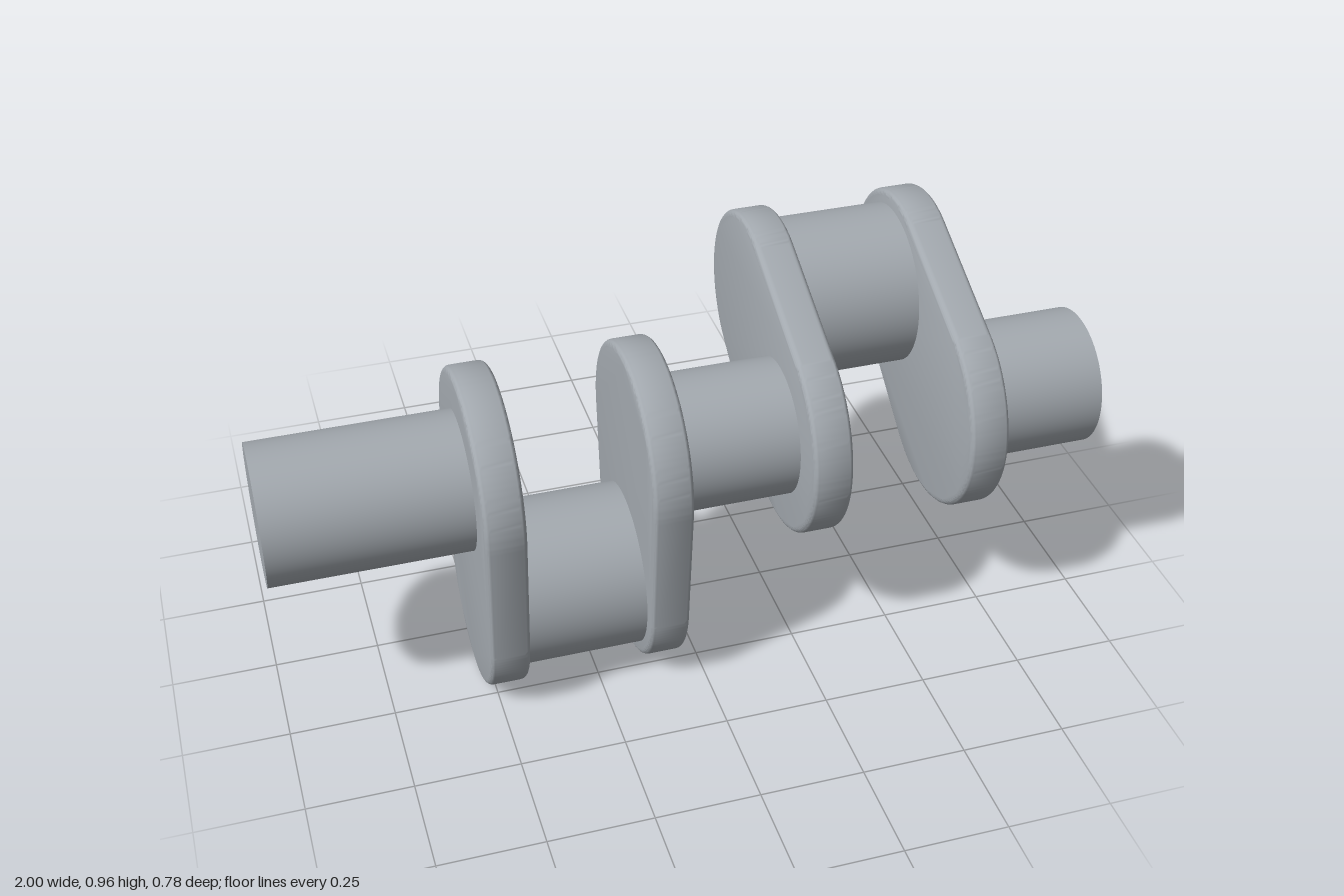
import * as THREE from 'three';
import { toCreasedNormals } from 'three/addons/utils/BufferGeometryUtils.js';

const AXIS_Y = 0.567, AXIS_Z = 0.128;   // main shaft axis, running along x
const THROW = 0.33;                     // distance from shaft axis to crank pin axis
const SHAFT_R = 0.166, PIN_R = 0.198;
const WEB_MAIN_R = 0.264, WEB_PIN_R = 0.232, WEB_T = 0.096, FILLET = 0.015;

export function createModel() {
  const model = new THREE.Group();
  model.name = 'crankshaft';
  const steel = new THREE.MeshStandardMaterial({ color: 0xa3a9af });
  steel.name = 'grey steel';

  function add(parent, geometry, name) {
    const mesh = new THREE.Mesh(geometry, steel);
    mesh.name = name;
    parent.add(mesh);
    return mesh;
  }

  // Round bar along x between two positions
  function bar(parent, name, radius, x0, x1, y, z) {
    const geometry = new THREE.CylinderGeometry(radius, radius, x1 - x0, 96);
    geometry.rotateZ(Math.PI / 2);
    add(parent, geometry, name).position.set((x0 + x1) / 2, y, z);
  }

  // Tapered crank web with rounded edges, turned by angle about the shaft axis
  function webGeometry(angle) {
    const b = Math.acos((WEB_MAIN_R - WEB_PIN_R) / THROW);
    const shape = new THREE.Shape();
    shape.absarc(0, 0, WEB_MAIN_R, b, 2 * Math.PI - b, false);
    shape.absarc(THROW, 0, WEB_PIN_R, -b, b, false);
    const geometry = new THREE.ExtrudeGeometry(shape, {
      depth: WEB_T - 2 * FILLET, curveSegments: 64,
      bevelThickness: FILLET, bevelSize: FILLET, bevelOffset: -FILLET, bevelSegments: 5,
    });
    geometry.translate(0, 0, FILLET - WEB_T / 2);
    geometry.rotateZ(angle);
    geometry.rotateY(Math.PI / 2);
    return toCreasedNormals(geometry, 0.6);
  }

  // Two throws, 120 degrees apart, each a pin held between two webs
  const throws = [
    { name: 'lowerThrow', angle: -Math.PI / 2, x0: -0.482, x1: -0.097 },
    { name: 'upperThrow', angle: Math.PI / 6, x0: 0.283, x1: 0.668 },
  ];
  for (const { name, angle, x0, x1 } of throws) {
    const group = new THREE.Group();
    group.name = name;
    const geometry = webGeometry(angle);
    for (const x of [x0, x1]) {
      add(group, geometry, 'crankWeb').position.set(x, AXIS_Y, AXIS_Z);
    }
    bar(group, 'crankPin', PIN_R, x0, x1,
      AXIS_Y + THROW * Math.sin(angle), AXIS_Z - THROW * Math.cos(angle));
    model.add(group);
  }

  // Main shaft sections, ending inside the webs
  bar(model, 'rightJournal', SHAFT_R, -1, throws[0].x0, AXIS_Y, AXIS_Z);
  bar(model, 'centreJournal', SHAFT_R, throws[0].x1, throws[1].x0, AXIS_Y, AXIS_Z);
  bar(model, 'leftJournal', SHAFT_R, throws[1].x1, 1, AXIS_Y, AXIS_Z);

  return model;
}
